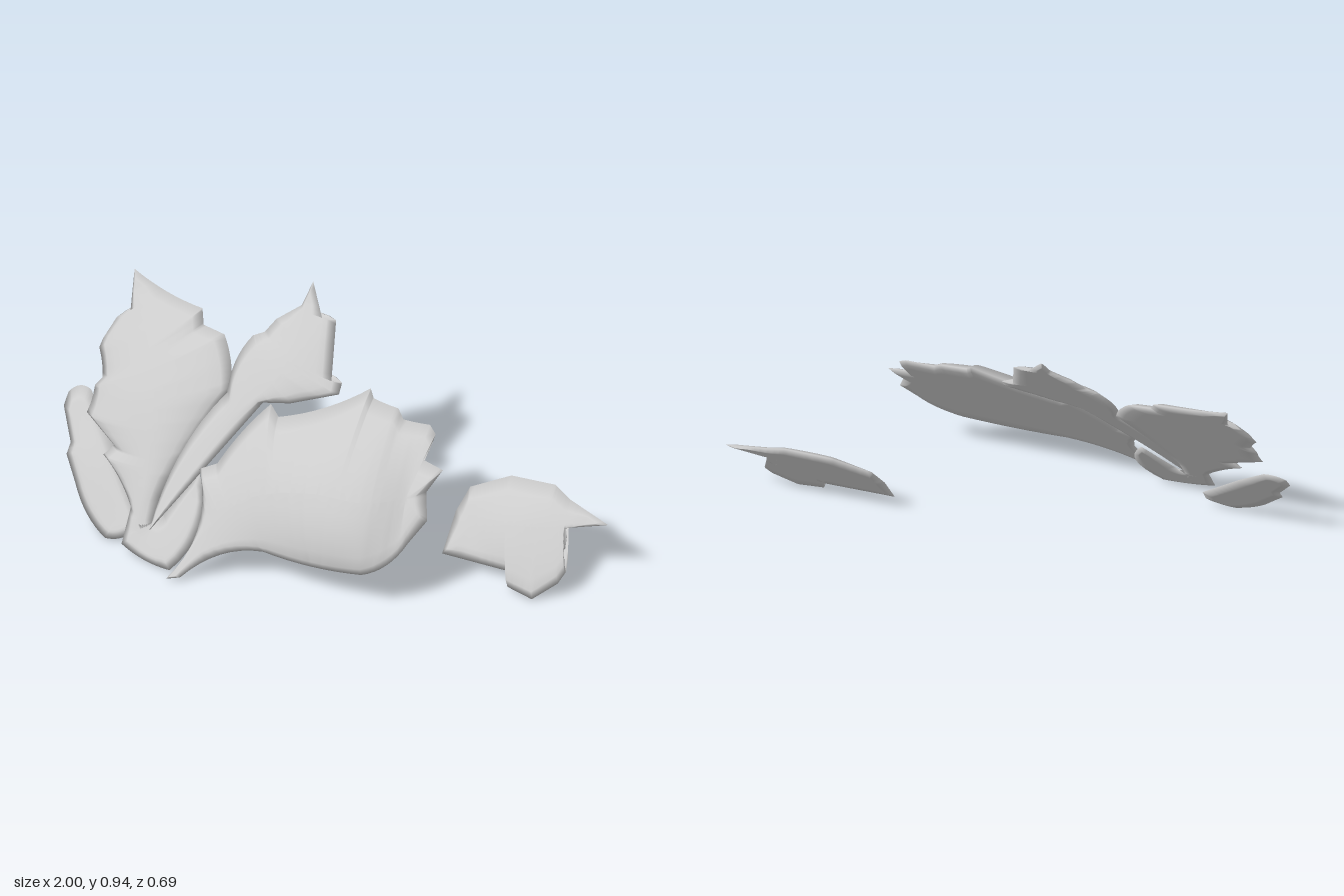
import * as THREE from 'three';
import { mergeVertices } from 'three/addons/utils/BufferGeometryUtils.js';

const SLOPE = 0.7;    // every leaf leans back by the same amount
const RIM = 0.011;    // half thickness near the edge
const BEVEL = 0.03;   // width of the tapered edge
const TOOTH = 0.02;   // height of the serrations

// Clockwise corners [x, y, bow, teeth]: the edge after each corner bows outward and carries teeth
function leafOutline(corners) {
  const edge = [];
  corners.forEach(([x, y, bow = 0, teeth = 0], i) => {
    const [x2, y2] = corners[(i + 1) % corners.length];
    const dx = x2 - x, dy = y2 - y, length = Math.hypot(dx, dy);
    const count = teeth ? teeth * 4 : 8;
    for (let k = 0; k < count; k++) {
      const t = k / count, f = (t * teeth) % 1;
      const saw = f <= 0.75 ? f / 0.75 : (1 - f) * 4;
      const out = (bow * 4 * t * (1 - t) + TOOTH * saw) / length;
      edge.push([x + dx * t - dy * out, y + dy * t + dx * out]);
    }
  });
  return edge.reverse();
}

// Position along the spine (segment index + fraction) nearest to a point
function nearest(x, y, spine) {
  let best = 0, bestD = Infinity;
  for (let i = 0; i < spine.length - 1; i++) {
    const a = spine[i], dx = spine[i + 1].x - a.x, dy = spine[i + 1].y - a.y;
    const t = THREE.MathUtils.clamp(((x - a.x) * dx + (y - a.y) * dy) / (dx * dx + dy * dy), 0, 1);
    const d = Math.hypot(a.x + dx * t - x, a.y + dy * t - y);
    if (d < bestD) { bestD = d; best = i + t; }
  }
  return best;
}

// Pair outline points with spine points, adding every spine bend that is passed on the way
function ribs(edge, spine) {
  const us = edge.map(([x, y]) => nearest(x, y, spine));
  const list = [];
  const addRib = (x, y, u) => {
    const i = Math.min(Math.floor(u), spine.length - 2);
    list.push({ x, y, foot: spine[i].clone().lerp(spine[i + 1], u - i) });
  };
  edge.forEach(([x, y], i) => {
    const j = (i + 1) % edge.length, u = us[i], v = us[j];
    addRib(x, y, u);
    const bends = [];
    for (let b = Math.floor(Math.min(u, v)) + 1; b < Math.max(u, v); b++) bends.push(b);
    if (u > v) bends.reverse();
    bends.forEach((b, k) => {
      const t = (k + 1) / (bends.length + 1);
      addRib(x + (edge[j][0] - x) * t, y + (edge[j][1] - y) * t, b);
    });
  });
  return list;
}

// Rings shrink from the outline to the spine: domed in front, nearly flat behind
function leafGeometry(corners, spinePoints, z0) {
  const curve = new THREE.CatmullRomCurve3(spinePoints.map((p) => new THREE.Vector3(...p)));
  const list = ribs(leafOutline(corners), curve.getPoints(spinePoints.length * 4));
  const n = list.length, steps = [0, 0, 0.2, 0.4, 0.6, 0.8, 1];
  const pos = [], index = [];
  for (const front of [true, false]) {
    const base = pos.length / 3;
    steps.forEach((step, r) => list.forEach(({ x, y, foot }) => {
      const d = Math.hypot(foot.x - x, foot.y - y);
      const bevel = Math.min(0.4, BEVEL / Math.max(d, 0.001));
      const s = r === 0 ? 0 : bevel + (1 - bevel) * step;
      const px = x + (foot.x - x) * s, py = y + (foot.y - y) * s;
      const rim = r === 0 ? 0 : RIM;
      pos.push(px, py, z0 - SLOPE * py + (front ? rim + foot.z * s * (2 - s) : -rim));
    }));
    for (let r = 0; r < steps.length - 1; r++) {
      for (let i = 0; i < n; i++) {
        const a = base + r * n + i, b = base + r * n + (i + 1) % n, c = b + n, d = a + n;
        if (front) index.push(a, b, c, a, c, d);
        else index.push(a, c, b, a, d, c);
      }
    }
  }
  const g = new THREE.BufferGeometry();
  g.setAttribute('position', new THREE.Float32BufferAttribute(pos, 3));
  g.setIndex(index);
  const merged = mergeVertices(g, 1e-4);
  merged.computeVertexNormals();
  return merged;
}

export function createModel() {
  const group = new THREE.Group();
  group.name = 'leafCluster';
  const paleGrey = new THREE.MeshStandardMaterial({ color: 0xcccccc });
  paleGrey.name = 'paleGrey';

  // Spine points are [x, y, dome height]
  const addLeaf = (name, z0, corners, spine) => {
    const leaf = new THREE.Mesh(leafGeometry(corners, spine, z0), paleGrey);
    leaf.name = name;
    group.add(leaf);
  };

  // Small lobe at the side of the cluster
  addLeaf('smallSideLeaf', 0.215,
    [[-1, .38, .015], [-.92, .405], [-.8, .29], [-.63, .1], [-.63, .04, .01], [-.73, 0, .015],
      [-.89, .13, 0, 1], [-.945, .24, 0, 1]],
    [[-.93, .33, .005], [-.84, .2, .015], [-.7, .07, .005]]);

  // Tall leaf with a forked foot
  addLeaf('tallLeaf', 0.295,
    [[-.85, .82, -.01], [-.565, .765], [-.545, .72], [-.46, .71, .01], [-.385, .57, -.01], [-.54, .2],
      [-.545, .11], [-.42, .3, .06], [-.44, .005, .01], [-.64, .04], [-.64, .15, -.01], [-.79, .275],
      [-.76, .31], [-.89, .38, -.03, 2], [-.9, .6], [-.87, .67], [-.825, .695]],
    [[-.82, .77, 0], [-.65, .55, .06], [-.6, .3, .04], [-.58, .09, .005], [-.48, .07, .005], [-.42, .23, 0]]);

  // Pointed leaf on a long thin stem
  addLeaf('middleLeaf', 0.313,
    [[-.18, .94], [-.11, .84], [-.06, .85], [-.02, .675], [.02, .68], [.02, .645], [-.15, .58], [-.25, .56],
      [-.44, .27], [-.545, .11, .04], [-.39, .56, .02], [-.35, .74], [-.31, .76], [-.28, .805], [-.2, .865]],
    [[-.54, .13, 0], [-.475, .29, 0], [-.35, .5, .01], [-.2, .68, .03], [-.18, .88, 0]]);

  // Broad domed leaf in front
  addLeaf('broadLeaf', 0.345,
    [[-.43, .005, -.06], [-.41, .34], [-.35, .37, .01], [-.21, .58], [-.17, .55, -.015], [.14, .705],
      [.16, .68, -.01, 2], [.42, .63], [.39, .55], [.48, .535], [.44, .46], [.47, .38], [.42, .3, .02],
      [.28, .175, .01], [-.1, .16, -.03], [-.38, .02]],
    [[-.41, .03, 0], [-.33, .17, .01], [-.2, .32, .045], [.05, .42, .1], [.25, .43, .09], [.38, .44, .02]]);

  // Separate leaf lying apart
  addLeaf('fallenLeaf', -0.107,
    [[.42, .06], [.43, .19], [.46, .27], [.6, .335], [.77, .345], [.84, .315], [1, .275], [.84, .23],
      [.865, .175], [.84, .14], [.89, .11], [.87, .07], [.79, .005], [.69, .02], [.71, .065]],
    [[.5, .17, .01], [.66, .22, .035], [.8, .24, .025], [.92, .275, 0]]);

  return group;
}
